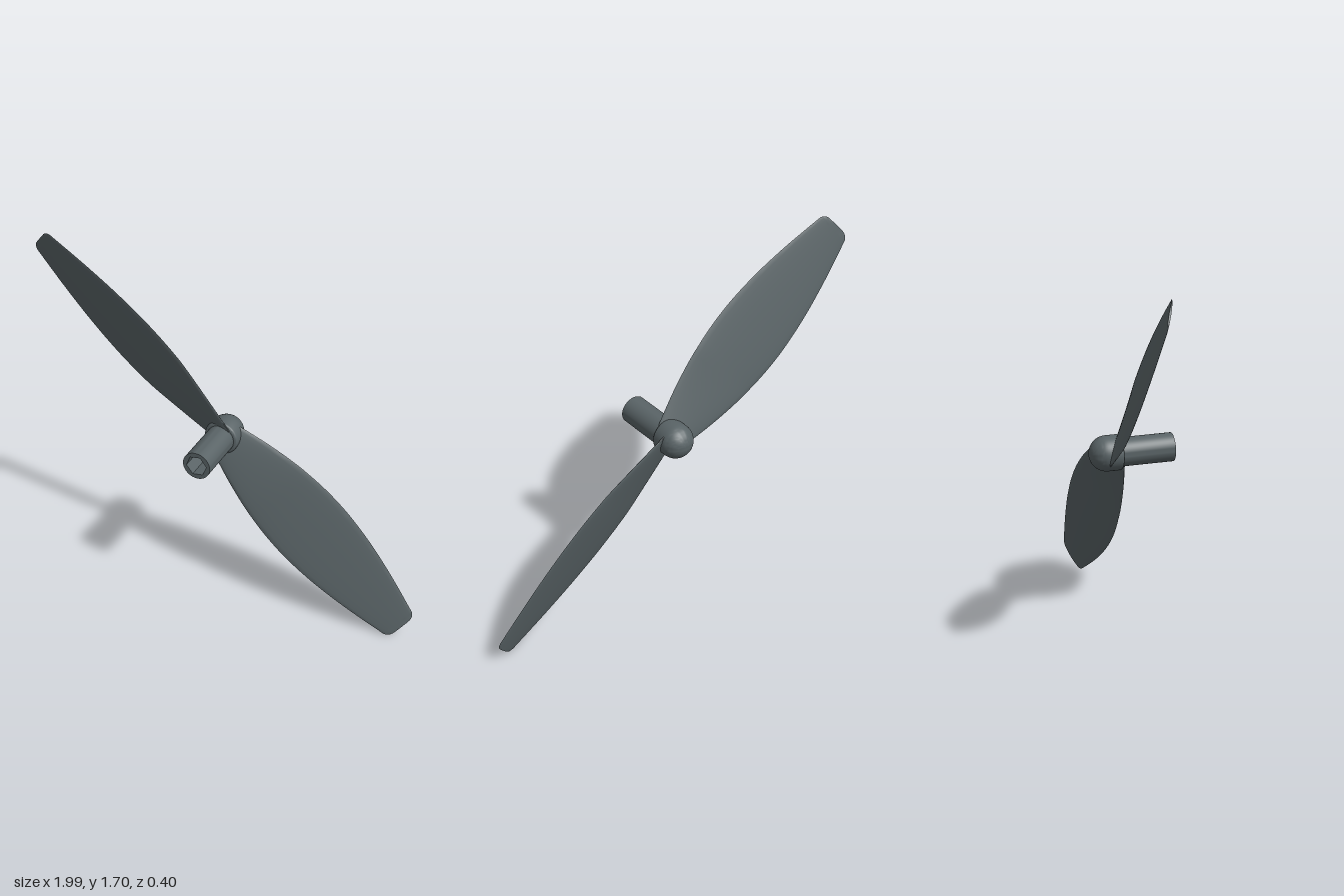
import * as THREE from 'three';
import { toCreasedNormals } from 'three/addons/utils/BufferGeometryUtils.js';

const material = new THREE.MeshStandardMaterial({ color: 0x596366 });

function part(name, geometry) {
  const mesh = new THREE.Mesh(geometry, material);
  mesh.name = name;
  return mesh;
}

// Thin lens sections along +x, following a half-width outline and twisting from root to tip
function bladeGeometry() {
  const outline = [
    [0, 0.075], [0.2, 0.13], [0.4, 0.17], [0.6, 0.182], [0.8, 0.168], [1, 0.135],
    [1.2, 0.09], [1.225, 0.082], [1.24, 0.068], [1.246, 0.05],
  ].map(([x, y]) => new THREE.Vector2(x, y));
  const rows = new THREE.SplineCurve(outline).getPoints(54);
  const sides = 24;
  const positions = [];
  const index = [];
  rows.forEach(({ x, y: half }) => {
    const slope = THREE.MathUtils.lerp(0.46, 0.36, Math.min(x / 0.4, 1));
    const thick = THREE.MathUtils.lerp(0.014, 0.005, x / 1.246);
    for (let j = 0; j < sides; j++) {
      const t = (j / sides) * Math.PI * 2;
      const y = half * Math.cos(t);
      positions.push(x, y, -y * slope + thick * Math.sin(t));
    }
  });
  for (let i = 0; i < rows.length - 1; i++) {
    for (let j = 0; j < sides; j++) {
      const a = i * sides + j;
      const b = i * sides + ((j + 1) % sides);
      index.push(a, b, a + sides, b, b + sides, a + sides);
    }
  }
  // Flat tip
  const last = (rows.length - 1) * sides;
  for (let j = 1; j < sides - 1; j++) index.push(last, last + j, last + j + 1);
  const geometry = new THREE.BufferGeometry();
  geometry.setAttribute('position', new THREE.Float32BufferAttribute(positions, 3));
  geometry.setIndex(index);
  return toCreasedNormals(geometry, 0.7);
}

// Domed hub turned around z, dome towards the back
function hubGeometry() {
  const r = 0.084;
  const profile = [new THREE.Vector2(0, 0.03), new THREE.Vector2(0.068, 0.03)];
  for (let i = 0; i <= 4; i++) {
    const t = (i / 4) * Math.PI / 2;
    profile.push(new THREE.Vector2(r - 0.012 + 0.012 * Math.sin(t), 0.018 + 0.012 * Math.cos(t)));
  }
  for (let i = 0; i <= 16; i++) {
    const t = (i / 16) * Math.PI / 2;
    profile.push(new THREE.Vector2(i === 16 ? 0 : r * Math.cos(t), -0.036 - r * Math.sin(t)));
  }
  profile.reverse();
  return toCreasedNormals(new THREE.LatheGeometry(profile, 48).rotateX(Math.PI / 2), 0.6);
}

// Round shaft with a hexagonal socket in its front end
function shaftGeometry() {
  const shape = new THREE.Shape().absarc(0, 0, 0.068, 0, Math.PI * 2);
  const hex = [];
  for (let i = 0; i < 6; i++) {
    const t = 0.17 - (i * Math.PI) / 3;
    hex.push(new THREE.Vector2(0.051 * Math.cos(t), 0.051 * Math.sin(t)));
  }
  shape.holes.push(new THREE.Path(hex));
  const geometry = new THREE.ExtrudeGeometry(shape, { depth: 0.26, bevelEnabled: false, curveSegments: 24 });
  return toCreasedNormals(geometry.translate(0, 0, 0.02), 0.6);
}

export function createModel() {
  const group = new THREE.Group();
  group.name = 'propeller';
  group.position.set(0, 0.86, -0.08);
  group.rotation.x = -0.033;

  const blade = bladeGeometry();
  for (const [name, degrees] of [['rightBlade', 140], ['leftBlade', 320]]) {
    const mesh = part(name, blade);
    mesh.rotation.z = THREE.MathUtils.degToRad(degrees);
    group.add(mesh);
  }
  group.add(part('hub', hubGeometry()), part('shaft', shaftGeometry()));

  const root = new THREE.Group();
  root.add(group);
  return root;
}
